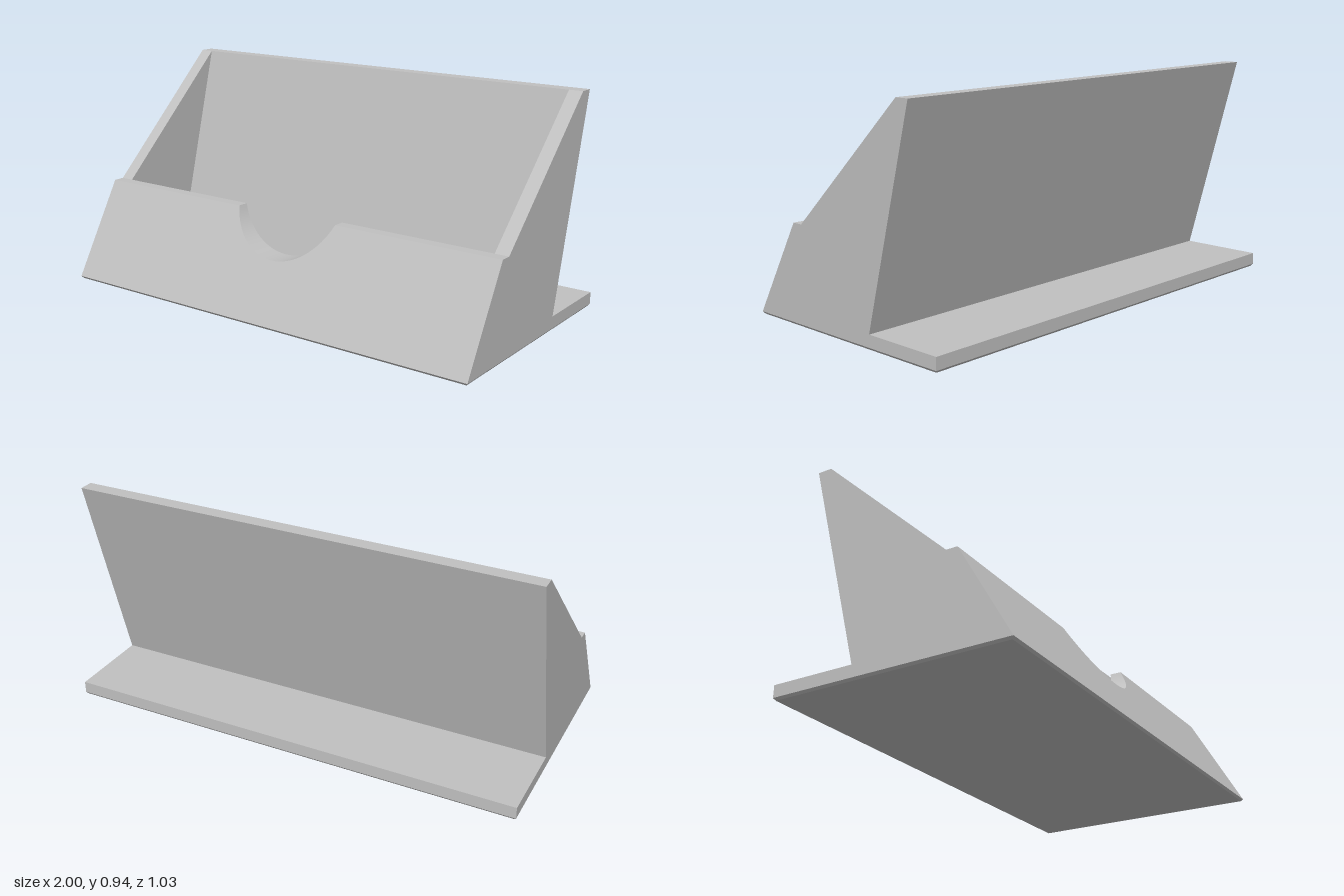
import * as THREE from 'three';
import { toCreasedNormals } from 'three/addons/utils/BufferGeometryUtils.js';

const LIP = 0.411;          // height of the front lip
const FRONT = [0.515, 0.01], TOP_FRONT = [-0.33, 0.942], LIP_INNER = [0.235, LIP];
const OUTER_SLOPE = (0.283 - 0.515) / (LIP - 0.01);
const INNER_SLOPE = -0.268; // pocket leans back by 15 degrees
const CHAMFER = 0.008;

// One side-on section as [z, y] points; h is the lip height there
function section(x, { h = LIP, pocket = false, end = false } = {}) {
  const onRim = t => LIP_INNER.map((v, i) => v + (TOP_FRONT[i] - v) * t);
  const inset = end ? 0 : CHAMFER, floorY = end ? 0.01 : 0;
  const points = [
    FRONT,
    [0.283 + (h - LIP) * OUTER_SLOPE, h],
    [0.235 + (h - LIP) * INNER_SLOPE, h],
    pocket ? [0.3, 0.167] : onRim(0.33),   // front of the pocket floor
    pocket ? [-0.094, 0.061] : onRim(0.67), // back of the pocket floor
    TOP_FRONT,
    [-0.392, 0.942],
    [-0.156, 0.061],
    [-0.515, 0.061],
    [-0.515, 0.01],
    [-0.515 + inset, floorY],
    [0.515 - inset, floorY],
  ];
  return points.map(([z, y]) => new THREE.Vector3(x, y, z));
}

function holderGeometry() {
  // Sections from one end to the other: side wall, pocket with notch, side wall
  const sections = [
    section(-1, { end: true }), section(-1 + CHAMFER),
    section(-0.94), section(-0.94, { pocket: true }),
  ];
  const radius = 0.269, centreY = 0.51, steps = 32;
  const half = Math.acos((centreY - LIP) / radius);
  for (let i = 0; i <= steps; i++) {
    const a = -half + (2 * half * i) / steps;
    sections.push(section(radius * Math.sin(a), { h: centreY - radius * Math.cos(a), pocket: true }));
  }
  sections.push(
    section(0.94, { pocket: true }), section(0.94),
    section(1 - CHAMFER), section(1, { end: true }),
  );

  const positions = [];
  const triangle = new THREE.Triangle();
  const add = (a, b, c) => {
    if (triangle.set(a, b, c).getArea() < 1e-8) return;
    for (const p of [a, b, c]) positions.push(p.x, p.y, p.z);
  };

  // Skin between neighbouring sections
  for (let s = 0; s < sections.length - 1; s++) {
    const lo = sections[s], hi = sections[s + 1];
    lo.forEach((p, i) => {
      const j = (i + 1) % lo.length;
      add(p, hi[i], hi[j]);
      add(p, hi[j], lo[j]);
    });
  }

  // Flat end faces
  const left = sections[sections.length - 1], right = sections[0];
  const outline = right.slice(0, 10).map(p => new THREE.Vector2(p.z, p.y));
  for (const [a, b, c] of THREE.ShapeUtils.triangulateShape(outline, [])) {
    add(right[a], right[b], right[c]);
    add(left[a], left[c], left[b]);
  }

  const geometry = new THREE.BufferGeometry();
  geometry.setAttribute('position', new THREE.Float32BufferAttribute(positions, 3));
  return toCreasedNormals(geometry, 0.25);
}

export function createModel() {
  const grey = new THREE.MeshStandardMaterial({ color: 0xc0c0c0 });
  grey.name = 'light grey';
  const holder = new THREE.Mesh(holderGeometry(), grey);
  holder.name = 'cardHolderBody';
  const model = new THREE.Group();
  model.name = 'cardHolder';
  model.add(holder);
  return model;
}
